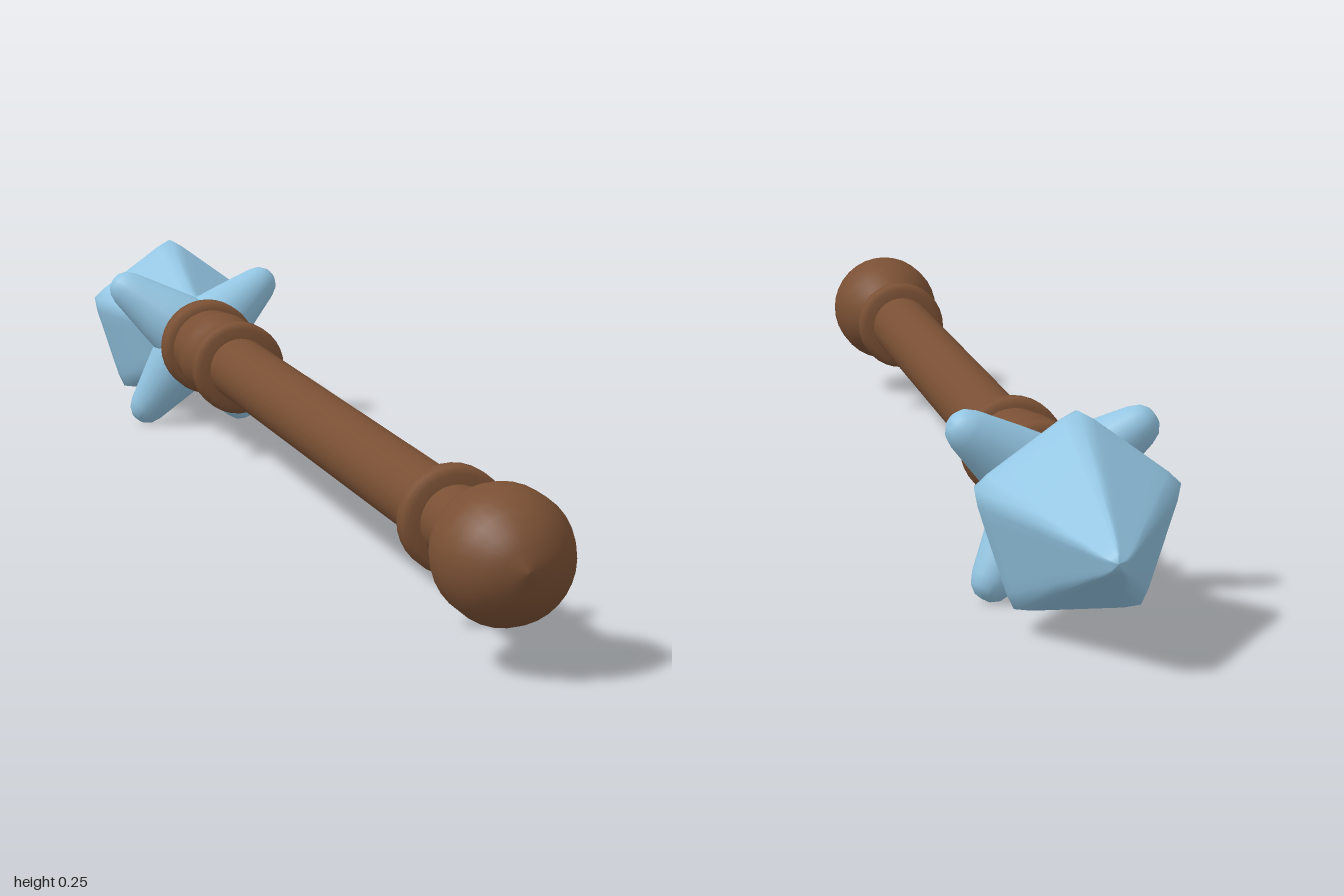
import * as THREE from 'three';

const AXIS_Y = 0.119;

// Turned solid along z; points are [z, radius] in order of rising z
function turned(points, segments = 32) {
  const g = new THREE.LatheGeometry(points.map(([z, r]) => new THREE.Vector2(r, z)), segments);
  return g.rotateX(Math.PI / 2);
}

// Softened pentagon radius, one corner pointing up
function pentagon(angle) {
  const step = (Math.PI * 2) / 5;
  const a = (((angle - Math.PI / 2) % step) + step) % step;
  return Math.min(0.975, Math.cos(step / 2) / Math.cos(a - step / 2));
}

export function createModel() {
  const wood = new THREE.MeshStandardMaterial({ color: 0x7a5034 });
  wood.name = 'brown wood';
  const ice = new THREE.MeshStandardMaterial({ color: 0x93c5e2 });
  ice.name = 'pale blue crystal';

  const model = new THREE.Group();
  model.name = 'crystalStaff';
  const body = new THREE.Group();
  body.name = 'staff';
  body.position.y = AXIS_Y;
  model.add(body);
  const add = (name, geometry, material) => {
    const mesh = new THREE.Mesh(geometry, material);
    mesh.name = name;
    body.add(mesh);
    return mesh;
  };

  // Shaft
  add('shaft', turned([[-0.32, 0.043], [0.85, 0.043]]), wood);

  // Rounded collars at both ends of the shaft
  const collar = (name, z, r, half) => add(name, turned([
    [z - half, 0.035], [z - half, r - 0.008], [z - half * 0.6, r],
    [z + half * 0.6, r], [z + half, r - 0.008], [z + half, 0.035],
  ]), wood);
  collar('lowerCollar', 0.722, 0.063, 0.017);
  collar('upperCollar', -0.32, 0.064, 0.017);
  collar('crystalCollar', -0.505, 0.067, 0.021);

  // Turned socket between the upper collars
  add('socket', turned([
    [-0.53, 0], [-0.525, 0.05], [-0.485, 0.056], [-0.465, 0.052], [-0.45, 0.057],
    [-0.435, 0.06], [-0.41, 0.06], [-0.395, 0.055], [-0.38, 0.049], [-0.33, 0.053],
  ]), wood);

  // Pommel ball
  add('pommel', turned([
    [0.82, 0.043], [0.835, 0.052], [0.85, 0.062], [0.87, 0.072], [0.89, 0.077],
    [0.925, 0.077], [0.945, 0.071], [0.965, 0.06], [0.982, 0.044], [0.993, 0.025], [1, 0],
  ]), wood);

  // Five-sided crystal head: round turned rings reshaped to pentagons
  const head = turned([
    [-1, 0], [-0.997, 0.011], [-0.985, 0.02], [-0.96, 0.032], [-0.88, 0.07],
    [-0.785, 0.117], [-0.765, 0.125], [-0.745, 0.122], [-0.665, 0.082],
    [-0.63, 0.07], [-0.53, 0.045], [-0.53, 0],
  ], 40);
  const p = head.attributes.position;
  for (let i = 0; i < p.count; i++) {
    const k = pentagon(Math.atan2(p.getY(i), p.getX(i)));
    p.setXY(i, p.getX(i) * k, p.getY(i) * k);
  }
  head.computeVertexNormals();
  add('crystalHead', head, ice);

  // Four blunt shards fanning out from the base of the crystal
  const profile = [
    [0.052, 0], [0.049, 0.035], [0.041, 0.07], [0.031, 0.11], [0.026, 0.13],
    [0.02, 0.143], [0.011, 0.15], [0, 0.152],
  ].map(([r, y]) => new THREE.Vector2(r, y));
  const up = new THREE.Vector3(0, 1, 0);
  for (const side of [1, -1]) {
    for (const [name, x, y] of [['upperShard', 0.112, 0.083], ['lowerShard', 0.078, -0.114]]) {
      const shard = add(name, new THREE.LatheGeometry(profile, 20), ice);
      shard.position.z = -0.572;
      shard.quaternion.setFromUnitVectors(up, new THREE.Vector3(side * x, y, -0.035).normalize());
    }
  }
  return model;
}
